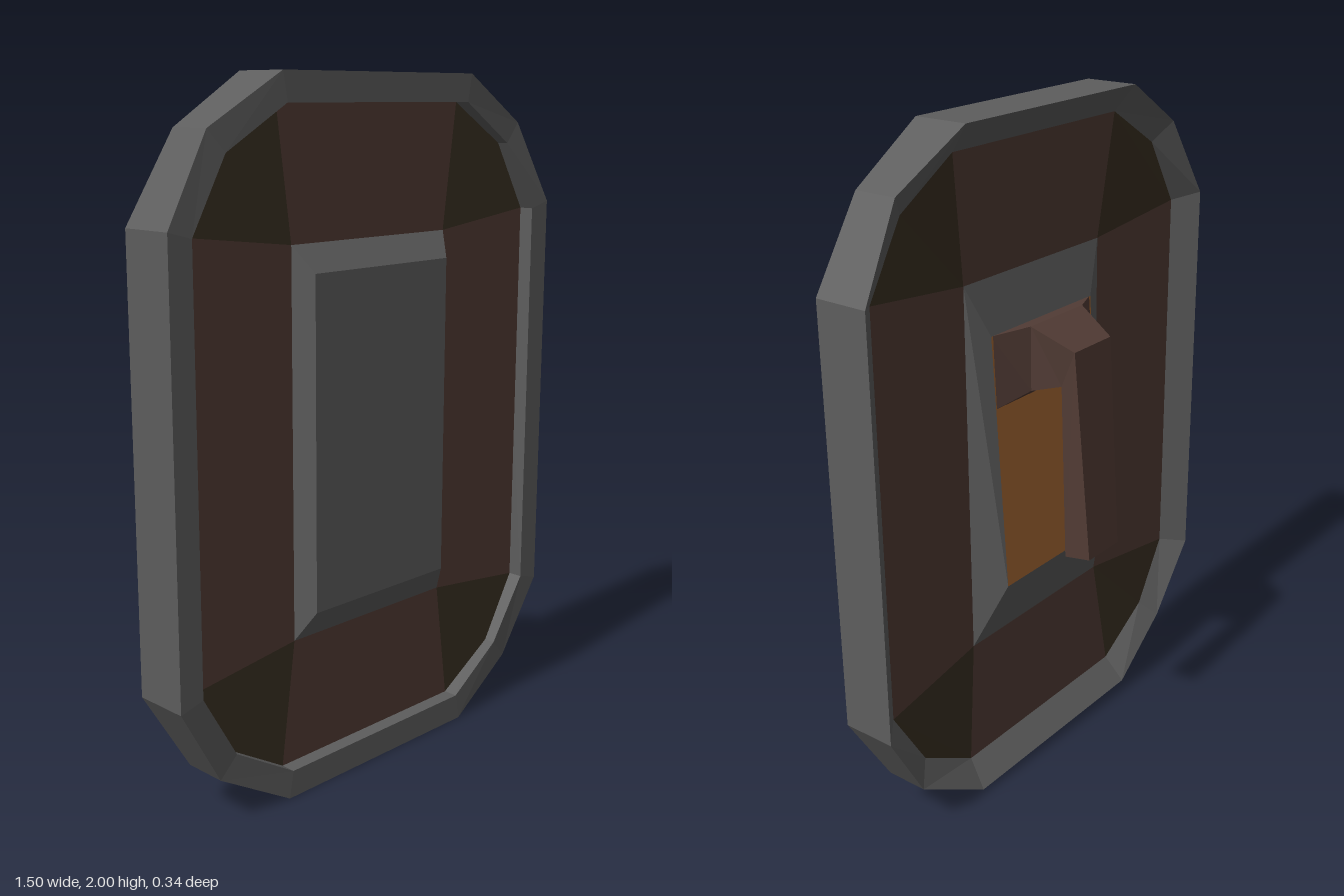
import * as THREE from 'three';

const paint = (color) => new THREE.MeshStandardMaterial({ color, flatShading: true });
const steel = paint(0x5d5d5d);
const wood = paint(0x523c35);
const darkWood = paint(0x3a3022);
const lightWood = paint(0xa76833);

// Flat-faced skin through matching rings of [x, y, z]; each ring runs
// anticlockwise about the direction from the first ring to the last.
function loft(name, material, rings, { capStart = true, capEnd = true } = {}) {
  const pos = [];
  const tri = (a, b, c) => pos.push(...a, ...b, ...c);
  const n = rings[0].length;
  for (let r = 0; r < rings.length - 1; r++) {
    const A = rings[r], B = rings[r + 1];
    for (let i = 0; i < n; i++) {
      const j = (i + 1) % n;
      tri(A[i], A[j], B[j]);
      tri(A[i], B[j], B[i]);
    }
  }
  const first = rings[0], last = rings[rings.length - 1];
  for (let i = 1; i < n - 1; i++) {
    if (capStart) tri(first[0], first[i + 1], first[i]);
    if (capEnd) tri(last[0], last[i], last[i + 1]);
  }
  const geo = new THREE.BufferGeometry();
  geo.setAttribute('position', new THREE.Float32BufferAttribute(pos, 3));
  geo.computeVertexNormals();
  const mesh = new THREE.Mesh(geo, material);
  mesh.name = name;
  return mesh;
}

// Twelve-sided outline from one quadrant; the diagonal corner has its own depth
function outline(quadrant, z, zDiagonal) {
  const ring = [];
  for (const [sx, sy] of [[1, 1], [-1, 1], [-1, -1], [1, -1]]) {
    const pts = quadrant.map(([x, y], i) => [sx * x, 1 + sy * y, i === 1 ? zDiagonal : z]);
    ring.push(...(sx * sy > 0 ? pts : pts.reverse()));
  }
  return ring;
}

// Rectangle of half-width w from y0 to y1, leaning from depth z0 to z1
const rect = (w, y0, y1, z0, z1 = z0) => [[-w, y0, z0], [w, y0, z0], [w, y1, z1], [-w, y1, z1]];

export function createModel() {
  const shield = new THREE.Group();
  shield.name = 'shield';

  // Metal rim, pinched at the diagonal corners
  const outer = [[0.75, 0.62], [0.61, 0.86], [0.37, 1]];
  const inner = [[0.675, 0.6], [0.555, 0.8], [0.355, 0.92]];
  const rimBack = outline(outer, 0, 0.02);
  shield.add(loft('rim', steel, [
    rimBack,
    outline(outer, 0.165, 0.15),
    outline(inner, 0.165, 0.155),
    outline(inner, 0.06, 0.06),
    rimBack,
  ], { capStart: false, capEnd: false }));

  // Wooden panels around the centre: [x, y, back z]
  const hub = [0.305, 0.555, 0.08];
  const [side, diagonal, end] = inner.map(([x, y]) => [x, y, 0.06]);
  const flipX = ([x, y, z]) => [-x, y, z];
  const flipY = ([x, y, z]) => [x, -y, z];
  function panel(name, material, points, sx, sy) {
    const pts = points.map(([x, y, z]) => [sx * x, 1 + sy * y, z]);
    if (sx * sy < 0) pts.reverse();
    shield.add(loft(name, material, [pts, pts.map(([x, y]) => [x, y, 0.12])]));
  }
  for (const s of [1, -1]) {
    panel(s > 0 ? 'leftPanel' : 'rightPanel', wood, [flipY(hub), flipY(side), side, hub], s, s);
    panel(s > 0 ? 'topPanel' : 'bottomPanel', wood, [hub, end, flipX(end), flipX(hub)], s, s);
    for (const t of [1, -1]) panel('cornerPanel', darkWood, [hub, side, diagonal, end], s, t);
  }

  // Central boss: raised plate at the front, bevelled frame at the back
  const lip = rect(0.23, 0.64, 1.4, 0.005, 0.05);
  shield.add(loft('boss', steel, [
    lip,
    rect(0.305, 0.445, 1.555, 0.08),
    rect(0.305, 0.445, 1.555, 0.12),
    rect(0.265, 0.53, 1.48, 0.17),
  ], { capStart: false }));

  // Light wooden board filling the back frame
  shield.add(loft('backBoard', lightWood, [lip, lip.map(([x, y]) => [x, y, 0.1])]));

  // Handle: flared bracket carrying a hanging grip
  const handle = new THREE.Group();
  handle.name = 'handle';
  handle.add(loft('bracket', wood, [
    rect(0.085, 1.24, 1.35, -0.08, -0.125),
    rect(0.12, 1.22, 1.41, 0),
    rect(0.228, 1.19, 1.4, 0.038, 0.052),
  ]));
  const g = 0.072, h = 0.085;
  handle.add(loft('grip', wood, [
    [[-g, 0.7, -0.085], [g, 0.7, -0.085], [g, 0.715, -0.172], [-g, 0.715, -0.172]],
    [[-h, 1.24, -0.08], [h, 1.24, -0.08], [h, 1.35, -0.125], [-h, 1.35, -0.125]],
  ]));
  shield.add(handle);

  return shield;
}
